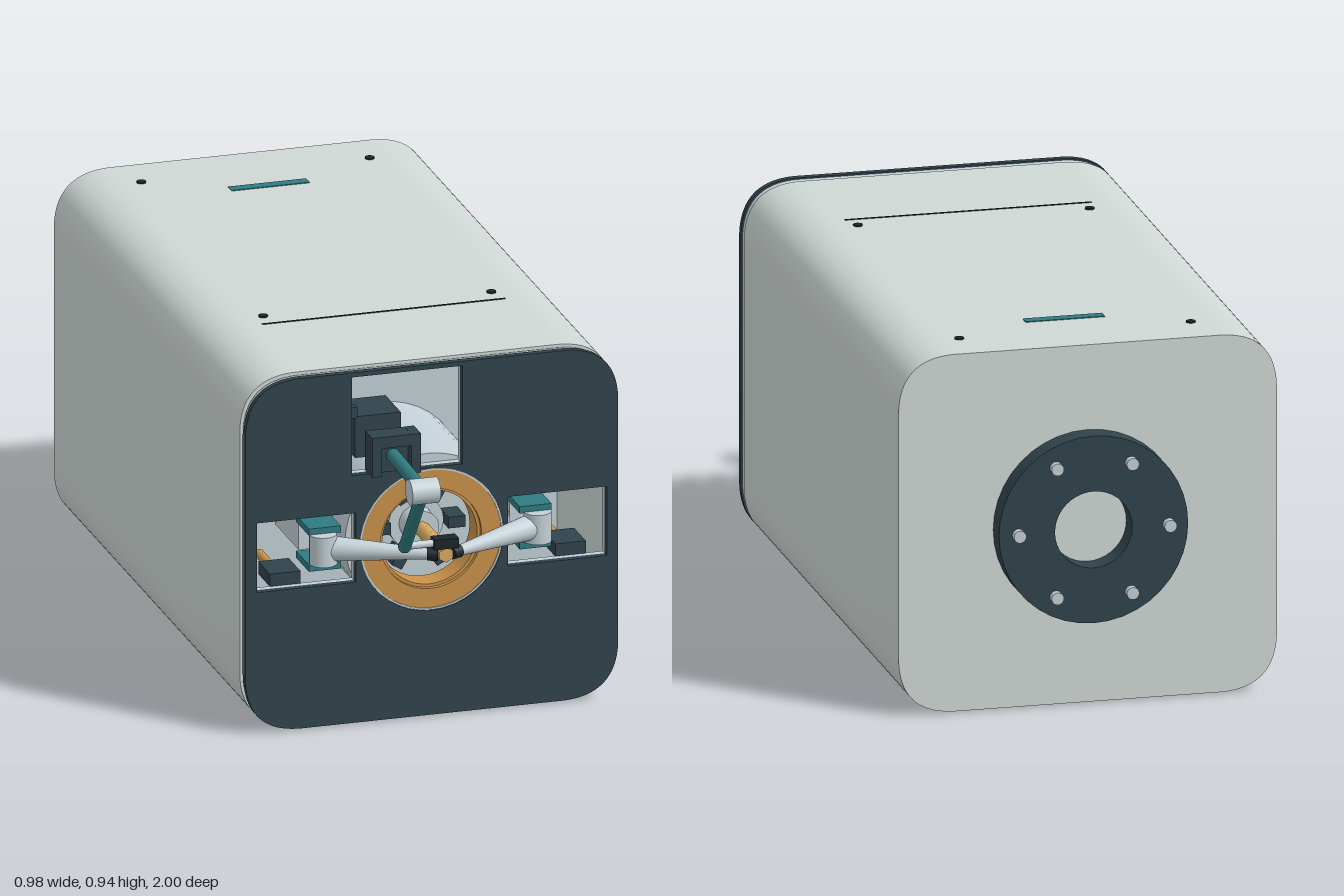
import * as THREE from 'three';
import { toCreasedNormals } from 'three/addons/utils/BufferGeometryUtils.js';

const mat = (color, side = THREE.FrontSide) => new THREE.MeshStandardMaterial({ color, side });
const SHELL = mat(0xcfd8d5), LIGHT = mat(0xc3d0d6), DARK = mat(0x30434b);
const BLACK = mat(0x1c262b), TEAL = mat(0x2f7b80), ORANGE = mat(0xc8914a), GOLD = mat(0xd9ab62);
const CY = 0.473; // height of the main axis

export function createModel() {
  const root = new THREE.Group();

  const add = (name, geo, material, x = 0, y = 0, z = 0) => {
    const m = new THREE.Mesh(geo, material);
    m.name = name;
    m.position.set(x, y, z);
    root.add(m);
    return m;
  };
  const box = (name, material, w, h, d, x, y, z) =>
    add(name, new THREE.BoxGeometry(w, h, d), material, x, y, z);
  // Tapered rod between two points
  const rod = (name, material, a, b, r0, r1 = r0, sides = 24) => {
    const p = new THREE.Vector3(...a), q = new THREE.Vector3(...b);
    const dir = q.clone().sub(p);
    const m = add(name, new THREE.CylinderGeometry(r1, r0, dir.length(), sides), material);
    m.position.copy(p).add(q).multiplyScalar(0.5);
    m.quaternion.setFromUnitVectors(new THREE.Vector3(0, 1, 0), dir.normalize());
    return m;
  };
  // Rounded square outline, inset from the outer skin
  const outline = (inset, Type = THREE.Shape) => {
    const x = 0.49 - inset, b = 0.005 + inset, t = 0.94 - inset, r = 0.15 - inset * 0.6;
    const s = new Type();
    s.moveTo(-x + r, b).lineTo(x - r, b).quadraticCurveTo(x, b, x, b + r);
    s.lineTo(x, t - r).quadraticCurveTo(x, t, x - r, t);
    s.lineTo(-x + r, t).quadraticCurveTo(-x, t, -x, t - r);
    s.lineTo(-x, b + r).quadraticCurveTo(-x, b, -x + r, b);
    return s;
  };
  const rectHole = (x0, x1, y0, y1) => new THREE.Path()
    .moveTo(x0, y0).lineTo(x0, y1).lineTo(x1, y1).lineTo(x1, y0).closePath();
  const circleHole = (r, y = CY) => new THREE.Path().absarc(0, y, r, 0, Math.PI * 2, true);
  const slab = (name, material, shape, holes, z0, z1) => {
    shape.holes.push(...holes);
    const g = new THREE.ExtrudeGeometry(shape, { depth: z1 - z0, bevelEnabled: false, curveSegments: 20 });
    return add(name, toCreasedNormals(g, 0.5), material, 0, 0, z0);
  };
  const ring = (name, material, outer, inner, z0, z1) => {
    const s = new THREE.Shape().absarc(0, CY, outer, 0, Math.PI * 2);
    return slab(name, material, s, inner ? [circleHole(inner)] : [], z0, z1);
  };

  // Casing: hollow shell, rear wall, inner bulkhead
  slab('shell', SHELL, outline(0), [outline(0.025, THREE.Path)], -0.89, 0.655);
  slab('rearWall', SHELL, outline(0), [], -0.92, -0.89);
  slab('bulkhead', LIGHT, outline(0.026), [], 0.25, 0.27);

  // Front panel with one round and three square openings, and its backing rim
  const openings = () => [circleHole(0.189), rectHole(-0.46, -0.2, 0.38, 0.565),
    rectHole(0.2, 0.46, 0.38, 0.565), rectHole(-0.21, 0.08, 0.666, 0.928)];
  slab('panelRim', LIGHT, outline(0.004), openings(), 0.667, 0.685);
  slab('frontPanel', DARK, outline(0), openings(), 0.685, 0.703);
  for (const x of [-0.42, -0.2, 0.2, 0.42])
    for (const y of [0.13, 0.82])
      box('panelSpacer', DARK, 0.03, 0.03, 0.02, x, y, 0.66);
  box('topLedge', SHELL, 0.29, 0.022, 0.1, -0.065, 0.913, 0.55);

  // Small fittings on the top and underside
  for (const y of [0.94, 0.005]) {
    for (const x of [-0.3, 0.3])
      for (const z of [-0.79, 0.24])
        add('casingScrew', new THREE.CylinderGeometry(0.012, 0.012, 0.008, 20), BLACK, x, y, z);
    box('accentStrip', TEAL, 0.205, 0.004, 0.03, 0, y, -0.677);
    box('seam', BLACK, 0.64, 0.003, 0.006, 0, y, 0.295);
  }

  // Rear flange and bolts
  ring('rearFlange', DARK, 0.245, 0.1, -0.98, -0.92);
  for (let i = 0; i < 6; i++) {
    const a = i * Math.PI / 3, x = 0.195 * Math.cos(a), y = CY + 0.195 * Math.sin(a);
    rod('flangeBolt', LIGHT, [x, y, -0.97], [x, y, -1], 0.016);
  }

  // Round socket: housing, coloured collar, stepped floor and clamps
  ring('socketHousing', LIGHT, 0.217, 0.187, 0.27, 0.666);
  ring('socketLip', LIGHT, 0.189, 0.184, 0.66, 0.7);
  ring('collar', ORANGE, 0.184, 0.133, 0.65, 0.697);
  ring('collarStep', ORANGE, 0.186, 0.125, 0.62, 0.685);
  ring('socketFloor', LIGHT, 0.186, 0, 0.5, 0.53);
  ring('hubBase', LIGHT, 0.072, 0, 0.53, 0.57);
  ring('hub', LIGHT, 0.045, 0, 0.57, 0.62);
  for (let i = 0; i < 6; i++) {
    const a = i * Math.PI / 3;
    box('clamp', DARK, 0.045, 0.03, 0.07, 0.098 * Math.cos(a), CY + 0.098 * Math.sin(a), 0.565)
      .rotation.z = a;
  }
  rod('shaft', GOLD, [0, CY, 0.55], [0, CY, 0.825], 0.02, 0.02, 6);

  // Mirrored side arms with their hinges
  for (const s of [-1, 1]) {
    const hx = 0.282 * s;
    rod('hingeBarrel', LIGHT, [hx, 0.435, 0.69], [hx, 0.514, 0.69], 0.035);
    for (const y of [0.425, 0.521]) box('hingeBracket', TEAL, 0.084, 0.018, 0.11, 0.277 * s, y, 0.635);
    rod('sideArm', LIGHT, [0.265 * s, CY, 0.69], [0.035 * s, CY, 0.805], 0.033, 0.013);
    rod('armTip', BLACK, [0.042 * s, CY, 0.802], [0.018 * s, CY, 0.812], 0.017);
    box('sideActuator', LIGHT, 0.07, 0.075, 0.2, 0.277 * s, CY, 0.48);
    box('sideBlock', DARK, 0.08, 0.034, 0.1, 0.375 * s, 0.396, 0.62);
    rod('sideBlockPin', ORANGE, [0.375 * s, 0.388, 0.45], [0.375 * s, 0.388, 0.57], 0.012);
  }

  // Upper folding arm: U-shaped mount, motor, elbow and two links
  const AX = -0.105;
  box('mountTop', DARK, 0.128, 0.03, 0.06, AX, 0.759, 0.713);
  for (const s of [-1, 1]) box('mountCheek', DARK, 0.025, 0.105, 0.06, AX + 0.0515 * s, 0.722, 0.713);
  box('mountBack', DARK, 0.078, 0.075, 0.03, AX, 0.707, 0.698);
  box('motor', DARK, 0.12, 0.11, 0.13, AX, 0.722, 0.52);
  rod('motorShaft', LIGHT, [AX, 0.71, 0.58], [AX, 0.71, 0.7], 0.025);
  rod('upperLink', TEAL, [AX, 0.713, 0.69], [AX, 0.705, 0.967], 0.018);
  rod('elbow', LIGHT, [AX - 0.037, 0.705, 0.967], [AX + 0.037, 0.705, 0.967], 0.033);
  rod('lowerLink', TEAL, [AX, 0.7, 0.965], [AX, 0.502, 0.812], 0.016);
  add('linkJoint', new THREE.SphereGeometry(0.017, 20, 14), TEAL, AX, 0.503, 0.812);
  rod('crossPin', LIGHT, [AX, 0.504, 0.812], [0, 0.504, 0.812], 0.01);
  box('shaftClamp', BLACK, 0.064, 0.026, 0.036, 0, 0.504, 0.812);

  return root;
}
